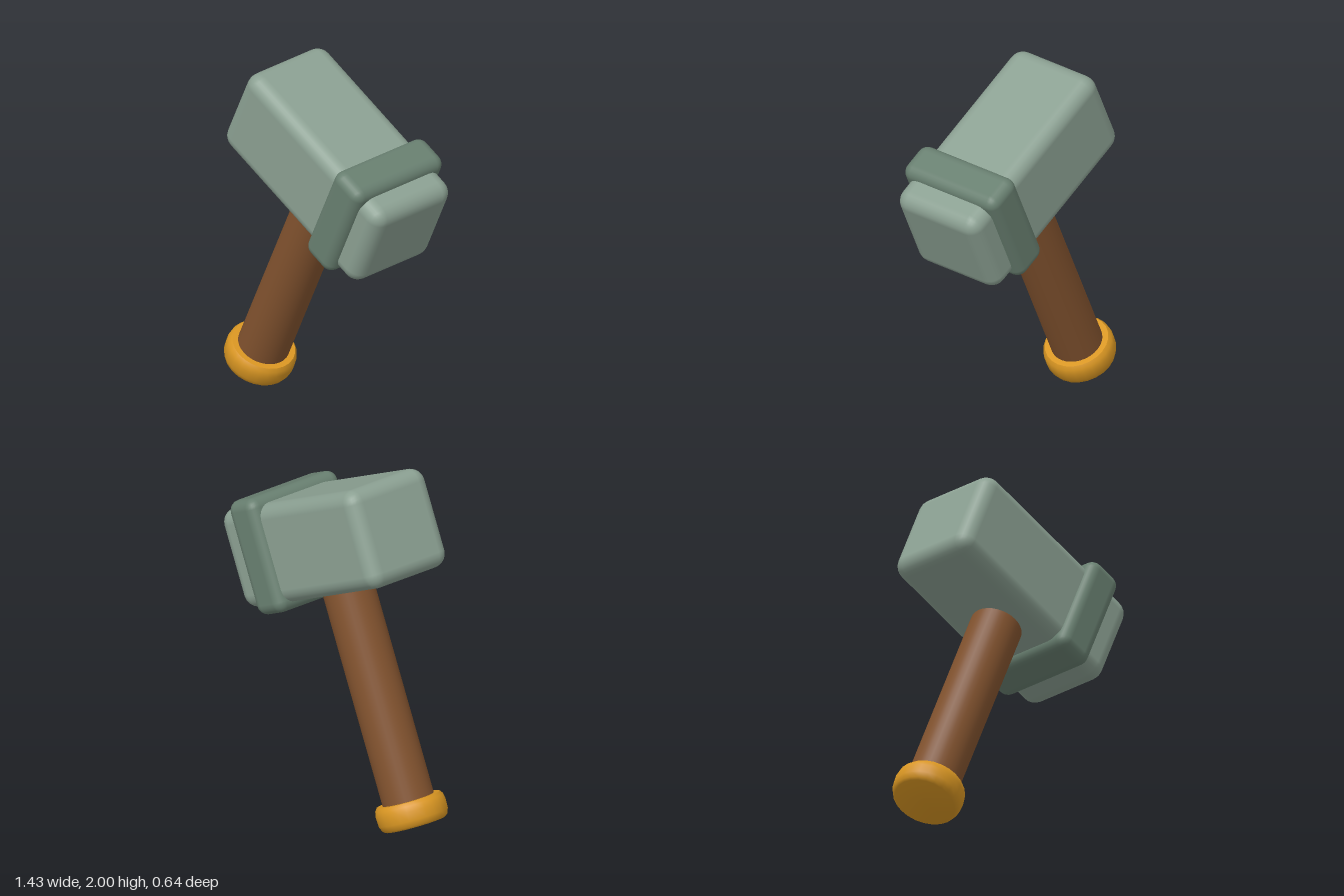
import * as THREE from 'three';
import { RoundedBoxGeometry } from 'three/addons/geometries/RoundedBoxGeometry.js';
import { toCreasedNormals } from 'three/addons/utils/BufferGeometryUtils.js';

function material(name, color) {
  const m = new THREE.MeshStandardMaterial({ color });
  m.name = name;
  return m;
}

export function createModel() {
  const model = new THREE.Group();
  model.name = 'hammer';

  const stone = material('grey green stone', 0x8ba092);
  const darkStone = material('dark grey green stone', 0x687f70);
  const wood = material('brown wood', 0x81522e);
  const gold = material('gold', 0xd99622);

  // Everything is built upright, then leaned over as one piece
  const tilted = new THREE.Group();
  tilted.name = 'tiltedHammer';
  tilted.rotation.z = -THREE.MathUtils.degToRad(24);
  model.add(tilted);

  const add = (name, geometry, mat, x, y) => {
    const mesh = new THREE.Mesh(geometry, mat);
    mesh.name = name;
    mesh.position.set(x, y, 0);
    tilted.add(mesh);
  };

  const axisX = -0.537; // handle axis

  // Head block and the band around its striking end
  add('head', new RoundedBoxGeometry(1.175, 0.552, 0.56, 3, 0.08), stone, -0.54, 1.438);
  add('headBand', new RoundedBoxGeometry(0.226, 0.64, 0.642, 3, 0.06), darkStone, -0.215, 1.442);

  // Handle runs from inside the pommel into the head
  add('handle', new THREE.CylinderGeometry(0.143, 0.143, 1.5, 32), wood, axisX, 0.65);

  // Pommel: a turned disc with softened rims
  const profile = [
    [0, -0.166], [0.168, -0.166], [0.182, -0.155], [0.194, -0.125],
    [0.196, -0.075], [0.19, -0.045], [0.176, -0.026], [0, -0.026],
  ].map(([r, y]) => new THREE.Vector2(r, y));
  add('pommel', toCreasedNormals(new THREE.LatheGeometry(profile, 24), 0.7), gold, axisX, 0);

  return model;
}
